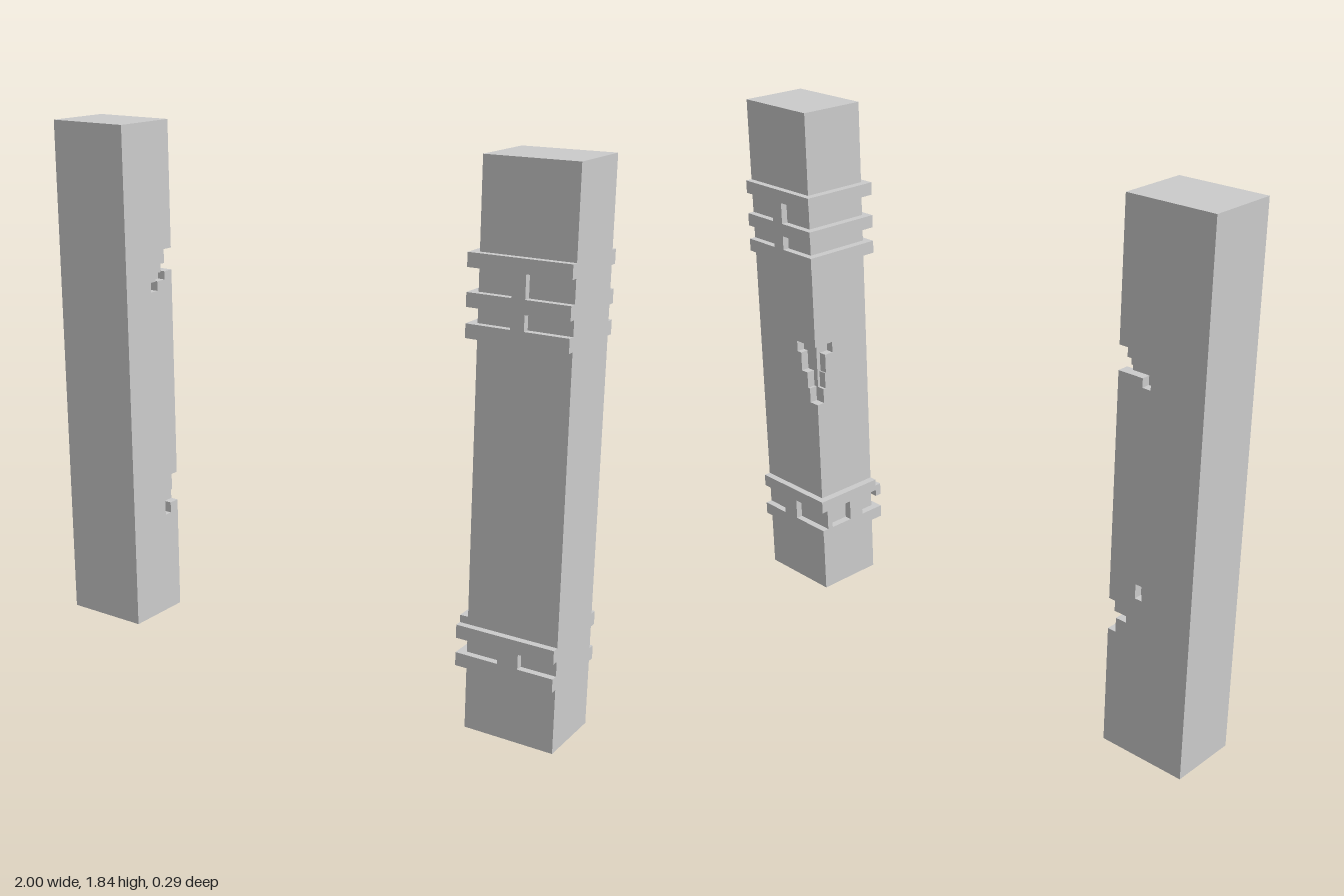
import * as THREE from 'three';

const material = new THREE.MeshStandardMaterial({ color: 0xcccccc, flatShading: true });
const HEIGHT = 1.835, INNER = 0.69, OUTER = 1, HALF = 0.122, RELIEF = 0.024, CHIP = 0.03;

// Box given by its ranges on each axis
function block(parent, name, x0, x1, y0, y1, z0, z1) {
  const mesh = new THREE.Mesh(new THREE.BoxGeometry(x1 - x0, y1 - y0, z1 - z0), material);
  mesh.position.set((x0 + x1) / 2, (y0 + y1) / 2, (z0 + z1) / 2);
  mesh.name = name;
  parent.add(mesh);
}

// Plan outline with cuts measured from the inner back corner:
// a runs along the back face, b along the inner face
function section(side, a, b) {
  const w = OUTER - INNER, d = 2 * HALF;
  const cornerA = a && a[0] === 0, cornerB = b && b[0] === 0;
  const pts = [[w, d], [w, 0]];
  if (a) pts.push([a[1], 0], [a[1], CHIP]);
  if (a && !cornerA) pts.push([a[0], CHIP], [a[0], 0]);
  pts.push([cornerB ? CHIP : 0, cornerA ? CHIP : 0]);
  if (b && !cornerB) pts.push([0, b[0]], [CHIP, b[0]]);
  if (b) pts.push([CHIP, b[1]], [0, b[1]]);
  pts.push([0, d]);
  return new THREE.Shape(pts.map(([u, v]) => new THREE.Vector2(side * (INNER + u), HALF - v)));
}

// Post stacked from plain lengths and chipped layers [y0, y1, a, b]
function post(name, side, chips) {
  const group = new THREE.Group();
  group.name = name;
  const layer = (y0, y1, a, b, label) => {
    const geo = new THREE.ExtrudeGeometry(section(side, a, b), { depth: y1 - y0, bevelEnabled: false });
    geo.rotateX(-Math.PI / 2).translate(0, y0, 0);
    const mesh = new THREE.Mesh(geo, material);
    mesh.name = label;
    group.add(mesh);
  };
  let y = 0;
  for (const [y0, y1, a, b] of chips) {
    if (y0 > y) layer(y, y0, null, null, 'postLength');
    layer(y0, y1, a, b, 'chippedLayer');
    y = y1;
  }
  layer(y, HEIGHT, null, null, 'postLength');
  return group;
}

export function createModel() {
  const model = new THREE.Group();
  model.name = 'gatePosts';

  // Plain post, chipped at two heights
  model.add(post('plainPost', -1, [
    [0.38, 0.42, null, [0.04, 0.07]],
    [0.42, 0.47, [0, 0.03], [0, 0.07]],
    [0.47, 0.53, [0, 0.07], [0, 0.03]],
    [0.57, 0.62, [0.1, 0.125], null],
    [1.235, 1.27, null, [0.08, 0.115]],
    [1.27, 1.3, [0.09, 0.12], [0.04, 0.09]],
    [1.3, 1.33, [0, 0.12], [0, 0.06]],
    [1.33, 1.38, [0, 0.05], [0, 0.04]],
  ]));

  // Carved post, chipped halfway up
  const carved = post('carvedPost', 1, [
    [0.765, 0.82, [0, 0.04], [0, 0.03]],
    [0.82, 0.88, [0, 0.05], [0, 0.04]],
    [0.88, 0.95, [0, 0.08], [0, 0.045]],
    [0.95, 0.99, [0, 0.1], [0, 0.08]],
  ]);
  model.add(carved);

  const X0 = INNER - 0.028, Z = HALF + RELIEF;
  const front = (n, x0, x1, y0, y1) => block(carved, n, x0, x1, y0, y1, HALF, Z);
  const back = (n, x0, x1, y0, y1) => block(carved, n, x0, x1, y0, y1, -Z, -HALF);
  const inner = (n, y0, y1, z0, z1) => block(carved, n, X0, INNER, y0, y1, z0, z1);

  // Upper band: three wrapping strips with short uprights on front and back
  for (const [y0, y1] of [[1.29, 1.335], [1.385, 1.43], [1.505, 1.55]]) {
    front('upperStripFront', X0, OUTER, y0, y1);
    back('upperStripBack', X0, OUTER, y0, y1);
    inner('upperStripInner', y0, y1, -HALF, HALF);
  }
  for (const [y0, y1] of [[1.335, 1.385], [1.43, 1.505]]) {
    front('upperUprightFront', 0.81, 0.855, y0, y1);
    back('upperUprightBack', 0.81, 0.86, y0, y1);
  }

  // Lower band: the front is a little shorter than the back and inner side
  for (const [y0, y1] of [[0.22, 0.265], [0.315, 0.36]]) front('lowerStripFront', X0, OUTER, y0, y1);
  for (const [y0, y1] of [[0.22, 0.265], [0.34, 0.385]]) {
    back('lowerStripBack', X0, OUTER, y0, y1);
    inner('lowerStripInner', y0, y1, -HALF, HALF);
  }
  front('lowerUprightFront', 0.81, 0.88, 0.265, 0.315);
  back('lowerUprightBack', 0.815, 0.885, 0.265, 0.34);
  inner('lowerUprightInner', 0.265, 0.34, -HALF, -0.1);
  inner('lowerUprightInner', 0.265, 0.34, -0.01, 0.05);

  return model;
}
